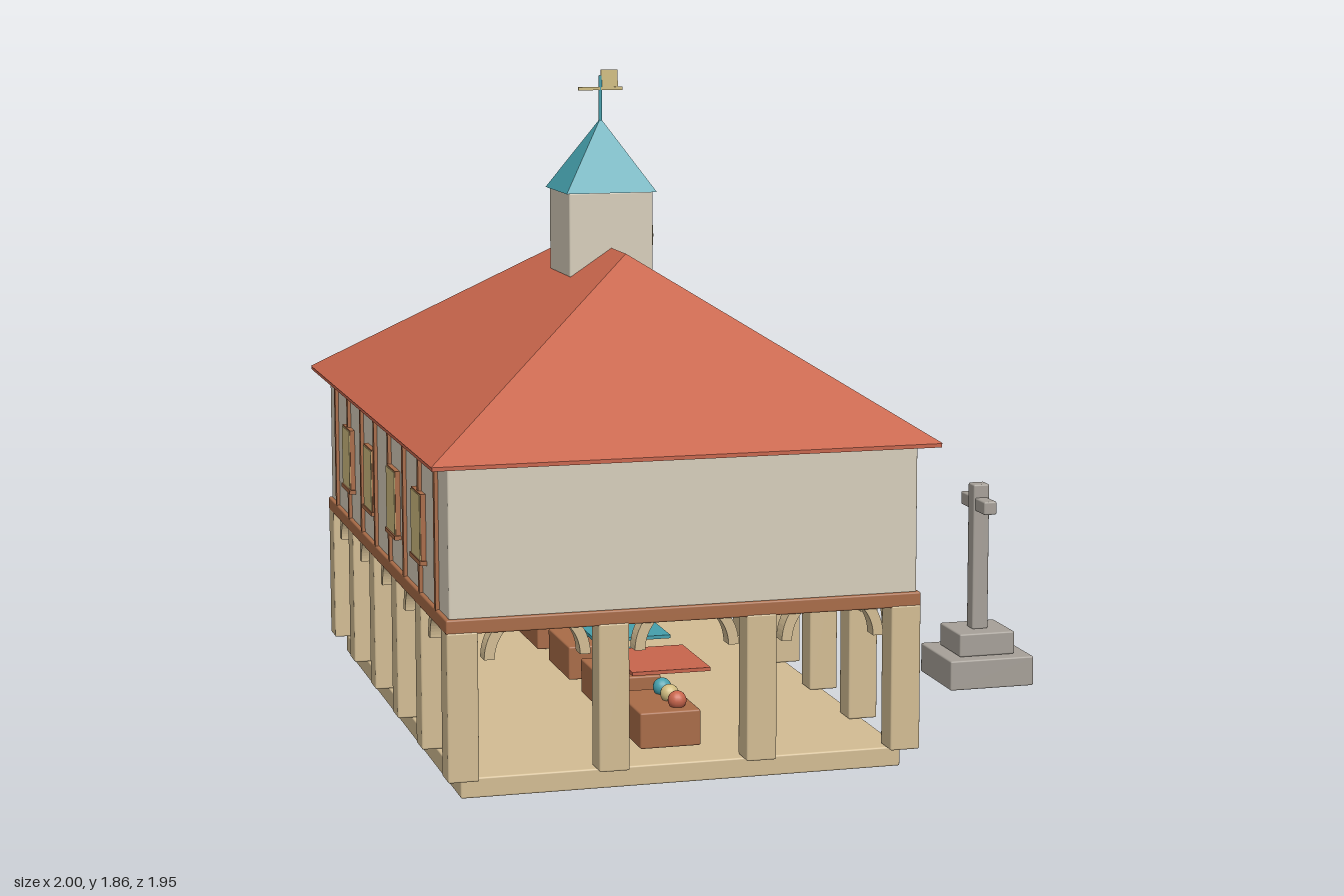
import * as THREE from 'three';
import { RoundedBoxGeometry } from 'three/addons/geometries/RoundedBoxGeometry.js';

const CX = -0.305; // centre line of the hall

function material(name, color) {
  const m = new THREE.MeshStandardMaterial({ color });
  m.name = name;
  return m;
}

// Hipped roof with a ridge along z and a closed underside
function hipRoof(hw, hd, ridge, h) {
  const a = [-hw, 0, hd], b = [hw, 0, hd], c = [hw, 0, -hd], d = [-hw, 0, -hd];
  const f = [0, h, ridge], k = [0, h, -ridge];
  const faces = [[a, b, f], [c, d, k], [b, c, k], [b, k, f], [d, a, f], [d, f, k], [a, d, c], [a, c, b]];
  const g = new THREE.BufferGeometry();
  g.setAttribute('position', new THREE.Float32BufferAttribute(faces.flat(2), 3));
  g.computeVertexNormals();
  return g;
}

// Half-ring arch between two pillars
function archGeometry(outer, inner, depth) {
  const s = new THREE.Shape();
  s.absarc(0, 0, outer, 0, Math.PI, false);
  s.absarc(0, 0, inner, Math.PI, 0, true);
  s.closePath();
  return new THREE.ExtrudeGeometry(s, { depth, bevelEnabled: false, curveSegments: 16 }).translate(0, 0, -depth / 2);
}

export function createModel() {
  const root = new THREE.Group();
  root.name = 'marketHall';
  const plaster = material('plaster', 0xd6cdba);
  const sandstone = material('sandstone', 0xd2bc93);
  const timber = material('timber', 0xa86b47);
  const tile = material('roofTile', 0xc8654c);
  const copper = material('copperTeal', 0x459fac);
  const stone = material('greyStone', 0xa6a098);
  const gold = material('gold', 0xd0bc80);

  function add(name, geo, mat, x, y, z, parent = root) {
    const m = new THREE.Mesh(geo, mat);
    m.name = name;
    m.position.set(x, y, z);
    parent.add(m);
    return m;
  }
  // Box standing on y, with slightly softened edges when thick enough
  function box(name, mat, w, h, d, x, y, z, parent) {
    const thin = Math.min(w, h, d) < 0.03;
    const geo = thin ? new THREE.BoxGeometry(w, h, d) : new RoundedBoxGeometry(w, h, d, 2, 0.005);
    return add(name, geo, mat, x, y + h / 2, z, parent);
  }
  function group(name) {
    const g = new THREE.Group();
    g.name = name;
    root.add(g);
    return g;
  }

  // Floor, ring of pillars
  box('floorSlab', sandstone, 1.22, 0.055, 1.785, CX, 0, 0);
  const px = 0.61, pz = 0.893;
  const xs = [0, 1, 2, 3].map(i => CX - px + i * px * 2 / 3);
  const zs = [0, 1, 2, 3, 4, 5].map(i => -pz + i * pz * 2 / 5);
  const arcade = group('arcade');
  xs.forEach((x, i) => zs.forEach((z, j) => {
    if (i === 0 || i === 3 || j === 0 || j === 5) box('pillar', sandstone, 0.083, 0.4, 0.083, x, 0.055, z, arcade);
  }));

  // Arches between the pillars
  const endArch = archGeometry(0.143, 0.115, 0.05);
  const sideArch = archGeometry(0.118, 0.09, 0.05);
  for (const s of [-1, 1]) {
    for (let i = 0; i < 3; i++) add('endArch', endArch, sandstone, (xs[i] + xs[i + 1]) / 2, 0.375, s * pz, arcade);
    for (let j = 0; j < 5; j++) {
      const m = add('sideArch', sideArch, sandstone, CX + s * px, 0.375, (zs[j] + zs[j + 1]) / 2, arcade);
      m.rotation.y = Math.PI / 2;
    }
  }

  // Upper storey
  box('floorBeam', timber, 1.305, 0.04, 1.865, CX, 0.45, 0);
  box('upperWalls', plaster, 1.285, 0.41, 1.845, CX, 0.487, 0);
  for (const s of [-1, 1]) {
    const wallX = CX + s * 0.6425;
    for (let i = 0; i < 8; i++)
      box('timberStud', timber, 0.02, 0.42, 0.02, wallX, 0.465, -0.785 + i * 0.2243);
    for (let i = 0; i < 4; i++) {
      const z = (i - 1.5) * 0.37;
      box('windowFrame', timber, 0.028, 0.186, 0.134, wallX, 0.582, z);
      box('windowPane', gold, 0.006, 0.176, 0.126, wallX + s * 0.0135, 0.588, z);
      box('windowSill', timber, 0.038, 0.012, 0.15, wallX, 0.575, z);
    }
  }

  // Main roof
  box('eaves', tile, 1.385, 0.012, 1.945, CX, 0.89, 0);
  add('hippedRoof', hipRoof(0.695, 0.975, 0.285, 0.46), tile, CX, 0.901, 0);

  // Cupola with clock
  box('cupola', plaster, 0.245, 0.24, 0.245, CX, 1.28, 0);
  add('cupolaRoof', hipRoof(0.132, 0.132, 0, 0.205), copper, CX, 1.518, 0);
  const clockX = CX + 0.1225;
  const face = add('clockFace', new THREE.CylinderGeometry(0.078, 0.078, 0.008, 32), plaster, clockX + 0.003, 1.39, 0);
  face.rotation.z = -Math.PI / 2;
  const ring = add('clockRing', new THREE.TorusGeometry(0.077, 0.007, 8, 36), gold, clockX + 0.006, 1.39, 0);
  ring.rotation.y = Math.PI / 2;

  // Weather vane
  add('vanePole', new THREE.CylinderGeometry(0.005, 0.005, 0.14, 8), copper, CX, 1.775, 0);
  box('vaneArm', gold, 0.13, 0.009, 0.009, CX, 1.803, 0);
  box('vaneFlag', gold, 0.05, 0.058, 0.006, CX + 0.026, 1.803, 0);

  // Market stalls: counter, goods and awning
  const awnings = [tile, copper, copper, gold];
  const goods = [tile, gold, copper];
  const ball = new THREE.SphereGeometry(0.026, 16, 12);
  awnings.forEach((awning, i) => {
    const stall = group('stall');
    stall.position.set(CX, 0, 0.62 - i * 0.4133);
    box('counter', timber, 0.17, 0.1, 0.265, 0, 0.06, 0, stall);
    goods.forEach((mat, j) => add('goods', ball, mat, 0.033, 0.177, (1 - j) * 0.078, stall));
    box('awning', awning, 0.22, 0.01, 0.285, 0, 0.268, 0, stall);
  });

  // Stone market cross
  const cross = group('marketCross');
  cross.position.x = 0.867;
  box('lowerStep', stone, 0.265, 0.09, 0.265, 0, 0, 0, cross);
  box('upperStep', stone, 0.175, 0.07, 0.175, 0, 0.09, 0, cross);
  box('shaft', stone, 0.05, 0.445, 0.05, 0, 0.158, 0, cross);
  box('crossArm', stone, 0.04, 0.04, 0.2, 0, 0.523, 0, cross);

  return root;
}
